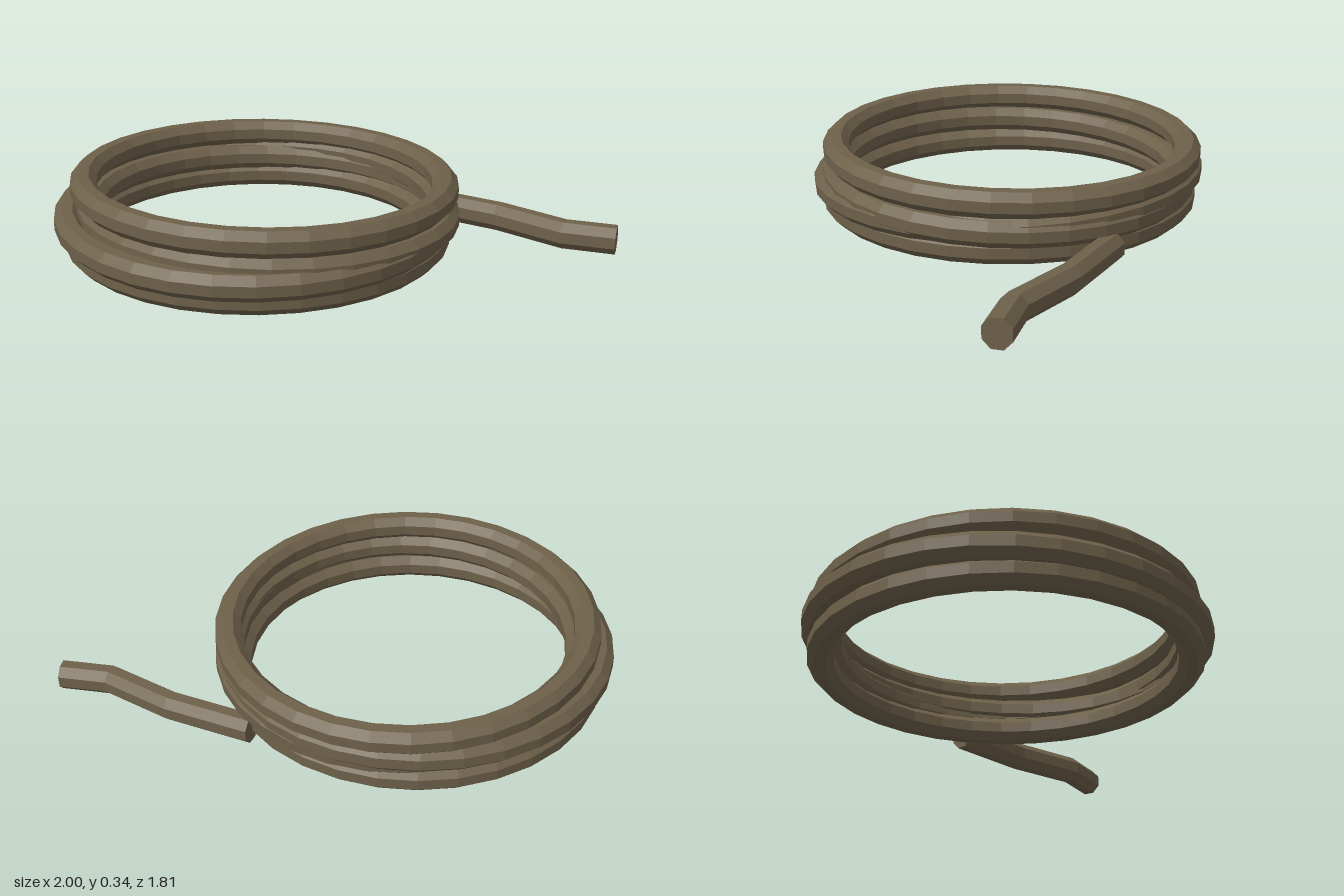
import * as THREE from 'three';

const SIDES = 8;
const RING_SEGMENTS = 32;

// Octagon with flat top and sides, given its half width
function octagon(halfWidth) {
  const r = halfWidth / Math.cos(Math.PI / SIDES);
  return Array.from({ length: SIDES }, (_, i) => {
    const a = ((i + 0.5) / SIDES) * Math.PI * 2;
    return new THREE.Vector2(Math.cos(a) * r, Math.sin(a) * r);
  });
}

// Closed loop of rope lying around the y axis
function ringGeometry(radius, halfWidth) {
  const profile = octagon(halfWidth).map((p) => new THREE.Vector2(p.x + radius, p.y));
  profile.push(profile[0].clone());
  return new THREE.LatheGeometry(profile, RING_SEGMENTS);
}

// Rope following a flat bent path, mitred at each bend and capped at both ends
function tailGeometry(path, y, halfWidth) {
  const section = octagon(halfWidth);
  const positions = [];
  const index = [];
  path.forEach((p, i) => {
    const before = path[Math.max(i - 1, 0)];
    const after = path[Math.min(i + 1, path.length - 1)];
    const dirIn = (i > 0 ? p.clone().sub(before) : after.clone().sub(p)).normalize();
    const dirOut = (i < path.length - 1 ? after.clone().sub(p) : dirIn.clone()).normalize();
    const dir = dirIn.clone().add(dirOut).normalize();
    const miter = 1 / dir.dot(dirIn);
    for (const s of section) {
      positions.push(p.x + dir.y * s.x * miter, y + s.y, p.y - dir.x * s.x * miter);
    }
  });
  for (let i = 0; i < path.length - 1; i++) {
    for (let j = 0; j < SIDES; j++) {
      const a = i * SIDES + j;
      const b = i * SIDES + ((j + 1) % SIDES);
      index.push(a, b, a + SIDES, b, b + SIDES, a + SIDES);
    }
  }
  const last = (path.length - 1) * SIDES;
  for (let j = 1; j < SIDES - 1; j++) {
    index.push(0, j + 1, j);
    index.push(last, last + j, last + j + 1);
  }
  // Side vector is right of travel, so the winding is flipped to face outward
  for (let k = 0; k < index.length; k += 3) {
    const [a, b, c] = [0, 1, 2].map((n) => new THREE.Vector3().fromArray(positions, index[k + n] * 3));
    const normal = b.clone().sub(a).cross(c.clone().sub(a));
    const mid = a.clone().add(b).add(c).divideScalar(3);
    const onStart = index[k] < SIDES && index[k + 1] < SIDES && index[k + 2] < SIDES;
    const onEnd = index[k] >= last && index[k + 1] >= last && index[k + 2] >= last;
    const seg = Math.min(Math.floor(Math.min(index[k], index[k + 1], index[k + 2]) / SIDES), path.length - 2);
    const p = path[seg];
    const d = path[seg + 1].clone().sub(p).normalize();
    const along = (mid.x - p.x) * d.x + (mid.z - p.y) * d.y;
    const out = onStart ? new THREE.Vector3(-d.x, 0, -d.y)
      : onEnd ? new THREE.Vector3(d.x, 0, d.y)
        : mid.clone().sub(new THREE.Vector3(p.x + d.x * along, y, p.y + d.y * along));
    if (normal.dot(out) < 0) [index[k + 1], index[k + 2]] = [index[k + 2], index[k + 1]];
  }
  const geometry = new THREE.BufferGeometry();
  geometry.setAttribute('position', new THREE.Float32BufferAttribute(positions, 3));
  geometry.setIndex(index);
  const flat = geometry.toNonIndexed();
  flat.computeVertexNormals();
  return flat;
}

export function createModel() {
  const group = new THREE.Group();
  group.name = 'ropeCoil';
  const rope = new THREE.MeshStandardMaterial({ color: 0x6e614a, flatShading: true });
  rope.name = 'ropeBrown';

  // Stacked loops, each slightly shifted and tilted
  const loops = [
    { name: 'bottomLoop', radius: 0.74, at: [-0.165, 0.063, -0.085], tiltX: 0, tiltZ: 0 },
    { name: 'lowerMiddleLoop', radius: 0.772, at: [-0.175, 0.155, -0.085], tiltX: 0.025, tiltZ: 0.022 },
    { name: 'upperMiddleLoop', radius: 0.732, at: [-0.13, 0.162, -0.055], tiltX: 0, tiltZ: -0.034 },
    { name: 'topLoop', radius: 0.742, at: [-0.135, 0.269, -0.075], tiltX: 0, tiltZ: -0.023 },
  ];
  for (const loop of loops) {
    const mesh = new THREE.Mesh(ringGeometry(loop.radius, 0.053), rope);
    mesh.name = loop.name;
    mesh.position.set(...loop.at);
    mesh.rotation.set(loop.tiltX, 0, loop.tiltZ);
    group.add(mesh);
  }

  // Loose end lying on the ground
  const path = [[0.62, 0.05], [0.758, 0.39], [0.828, 0.7], [0.951, 0.873]].map((p) => new THREE.Vector2(...p));
  const tail = new THREE.Mesh(tailGeometry(path, 0.057, 0.054), rope);
  tail.name = 'looseEnd';
  tail.position.y = -0.003;
  tail.scale.y = 1.05;
  group.add(tail);

  return group;
}
